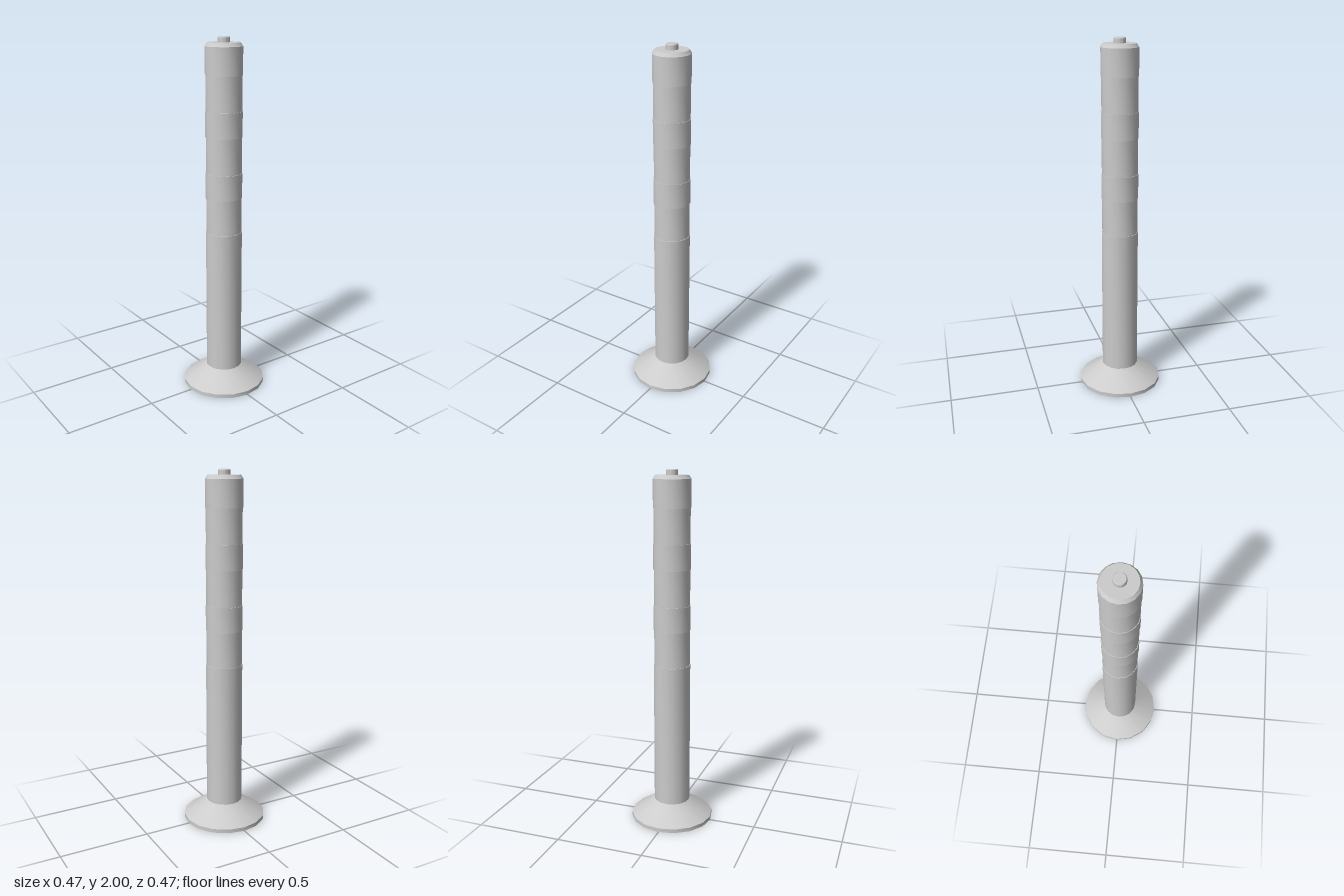
import * as THREE from 'three';
import { toCreasedNormals } from 'three/addons/utils/BufferGeometryUtils.js';

const material = new THREE.MeshStandardMaterial({ color: 0xcccccc });
const SIDES = 16;
const POST_R = 0.103;
const BAND_R = 0.1;

// Turned part from [radius, height] pairs, listed bottom to top
function turned(name, profile, sides = SIDES) {
  const points = profile.map(([r, y]) => new THREE.Vector2(r, y));
  const geometry = toCreasedNormals(new THREE.LatheGeometry(points, sides), 0.5);
  const mesh = new THREE.Mesh(geometry, material);
  mesh.name = name;
  return mesh;
}

export function createModel() {
  const bollard = new THREE.Group();
  bollard.name = 'bollard';

  // Flared foot with a short upright rim
  bollard.add(turned('base', [[0, 0], [0.236, 0], [0.236, 0.022], [POST_R, 0.11], [0, 0.11]]));

  // Lower post
  bollard.add(turned('post', [[POST_R, 0.11], [POST_R, 0.93], [0, 0.93]]));

  // Recessed bands, with full-width rings between them
  const bands = [[0.93, 1.13], [1.27, 1.47], [1.61, 1.8]];
  bands.forEach(([low, high], i) => {
    bollard.add(turned(`recessedBand${i + 1}`, [[BAND_R, low], [BAND_R, high]]));
    if (i < bands.length - 1) {
      const top = bands[i + 1][0];
      bollard.add(turned(`ring${i + 1}`, [[0, high], [POST_R, high], [POST_R, top], [0, top]]));
    }
  });

  // Chamfered cap
  bollard.add(turned('cap', [[0, 1.8], [POST_R, 1.8], [POST_R, 1.95], [0.09, 1.97], [0, 1.97]]));

  // Small round button on top
  bollard.add(turned('topButton', [[0.032, 1.965], [0.032, 1.995], [0.029, 2], [0, 2]], 32));

  return bollard;
}
